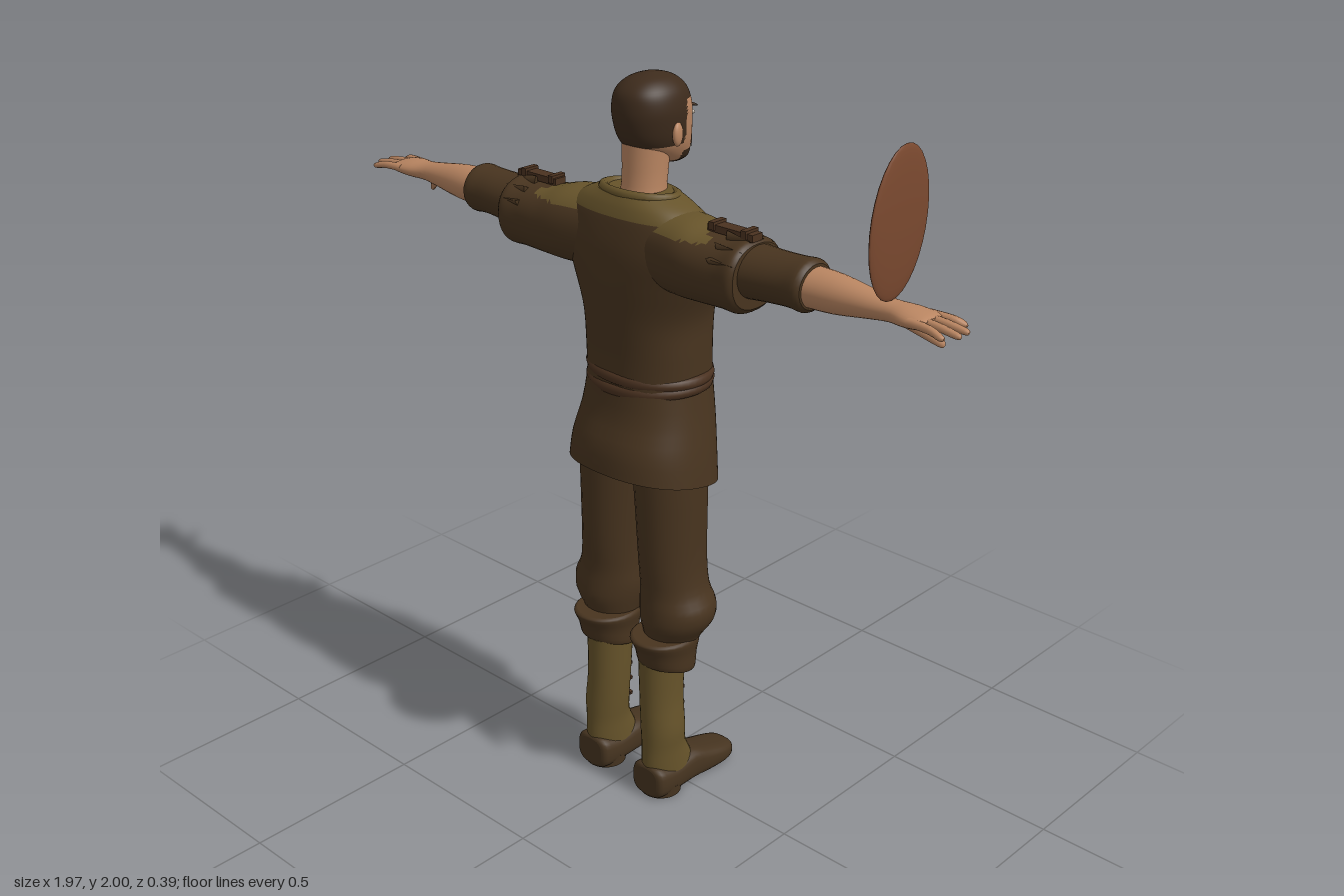
import * as THREE from 'three';

const paint = (name, color) => Object.assign(new THREE.MeshStandardMaterial({ color }), { name });
const cloth = paint('brown cloth', 0x48341f);
const olive = paint('olive leather', 0x66532a);
const leather = paint('brown leather', 0x4b3220);
const skin = paint('skin', 0xb98561);
const hair = paint('dark hair', 0x3d2b1c);
const boot = paint('boot leather', 0x463420);
const wood = paint('red brown disc', 0x7c4a30);
const grey = paint('grey pouch', 0x8b867b);
const dark = paint('dark lining', 0x2a1d12);
const white = paint('eye white', 0xcfc6b8);

// Catmull-Rom resampling of section rows
function resample(rows, n) {
  const out = [];
  for (let i = 0; i < rows.length - 1; i++) {
    const [a, b, c, d] = [rows[Math.max(i - 1, 0)], rows[i], rows[i + 1], rows[Math.min(i + 2, rows.length - 1)]];
    for (let k = 0; k < n; k++) {
      const t = k / n;
      out.push(b.map((p, j) => p + 0.5 * t * (c[j] - a[j] + t * (2 * a[j] - 5 * p + 4 * c[j] - d[j] + t * (3 * (p - c[j]) + d[j] - a[j])))));
    }
  }
  out.push(rows[rows.length - 1]);
  return out;
}

// Loft of oval sections [t, c1, c2, r1, r2] along an axis.
// bend moves vertices; pick chooses a material index per face.
function loft(name, axis, rows, mats, { seg = 28, sub = 3, power = 2, bend, pick } = {}) {
  const list = resample(rows, sub), pos = [], v = new THREE.Vector3();
  const round = x => Math.sign(x) * Math.abs(x) ** (2 / power);
  const put = (t, p, q) => {
    if (axis === 'y') v.set(p, t, q);
    else if (axis === 'x') v.set(t, p, q);
    else v.set(p, q, t);
    if (bend) bend(v);
    pos.push(v.x, v.y, v.z);
  };
  for (const [t, c1, c2, r1, r2] of list)
    for (let j = 0; j < seg; j++) {
      const a = j / seg * Math.PI * 2;
      put(t, c1 + r1 * round(Math.cos(a)), c2 + r2 * round(Math.sin(a)));
    }
  const n = list.length, faces = [];
  for (let i = 0; i < n - 1; i++)
    for (let j = 0; j < seg; j++) {
      const a = i * seg + j, b = i * seg + (j + 1) % seg;
      faces.push([a, a + seg, b], [b, a + seg, b + seg]);
    }
  // separate end caps keep their rims crisp
  for (const e of [0, n - 1]) {
    const base = pos.length / 3, [t, c1, c2] = list[e];
    for (let j = 0; j < seg; j++) pos.push(...pos.slice((e * seg + j) * 3, (e * seg + j) * 3 + 3));
    put(t, c1, c2);
    for (let j = 0; j < seg; j++) {
      const k = (j + 1) % seg;
      faces.push(e ? [base + k, base + j, base + seg] : [base + j, base + k, base + seg]);
    }
  }
  // turn the surface outward
  const P = i => new THREE.Vector3().fromArray(pos, i * 3);
  let volume = 0;
  for (const [a, b, c] of faces) volume += P(a).dot(P(b).cross(P(c)));
  if (volume < 0) faces.forEach(f => f.reverse());
  const all = [].concat(mats), sets = all.map(() => []);
  for (const f of faces) {
    const m = P(f[0]).add(P(f[1])).add(P(f[2])).divideScalar(3);
    sets[pick ? pick(m) : 0].push(...f);
  }
  const g = new THREE.BufferGeometry();
  g.setAttribute('position', new THREE.Float32BufferAttribute(pos, 3));
  g.setIndex(sets.flat());
  g.computeVertexNormals();
  let start = 0;
  if (all.length > 1) sets.forEach((s, i) => { g.addGroup(start, s.length, i); start += s.length; });
  const mesh = new THREE.Mesh(g, all.length > 1 ? all : all[0]);
  mesh.name = name;
  return mesh;
}

function place(name, geo, mat, p, s = [1, 1, 1], r = [0, 0, 0]) {
  const m = new THREE.Mesh(geo, mat);
  m.name = name;
  m.position.set(...p); m.scale.set(...s); m.rotation.set(...r);
  return m;
}
const ball = new THREE.SphereGeometry(1, 24, 16), box = new THREE.BoxGeometry(1, 1, 1);
const tube = (pts, r) => new THREE.TubeGeometry(new THREE.CatmullRomCurve3(pts.map(p => new THREE.Vector3(...p))), 16, r, 8);

// Olive yoke over the shoulders with a ragged bib on the chest
const ragged = u => 0.012 * Math.sin(u * 70) + 0.008 * Math.sin(u * 133);
const yoke = p => {
  const x = Math.abs(p.x);
  if (p.z < 0.02 && x < 0.011 && p.y < 1.66) return 2;
  if (p.y > 1.668 && x < 0.29) return 1;
  return p.z < 0.02 && p.y > 1.3 && x < 0.035 + (p.y - 1.3) * 0.42 + ragged(p.y) ? 1 : 0;
};

function createModel() {
  const model = new THREE.Group();
  model.name = 'figure';
  const add = (...m) => model.add(...m);

  // Tunic body and skirt
  add(loft('tunic', 'y', [
    [1.19, 0, 0, 0.165, 0.145], [1.3, 0, 0.003, 0.167, 0.143], [1.4, 0, 0.005, 0.172, 0.147],
    [1.5, 0, 0.015, 0.205, 0.143], [1.58, 0, 0.027, 0.23, 0.13], [1.65, 0, 0.035, 0.215, 0.11],
    [1.69, 0, 0.04, 0.17, 0.092], [1.715, 0, 0.04, 0.115, 0.078]], [cloth, olive, dark], { seg: 72, sub: 6, power: 2.3, pick: yoke }));
  add(loft('skirt', 'y', [
    [0.99, 0, 0.025, 0.205, 0.168], [1.06, 0, 0.02, 0.195, 0.165], [1.14, 0, 0.005, 0.178, 0.153], [1.22, 0, 0, 0.163, 0.146]],
  [cloth, dark], {
    seg: 64, power: 2.3,
    bend: v => {
      const k = Math.max(0, (1.22 - v.y) / 0.23);
      v.y -= k * ((0.2 - v.z) * 0.2 + Math.max(0, -0.1 - v.z) * 0.7);
    },
    pick: p => p.z < 0 && Math.abs(p.x) < 0.011 ? 1 : 0 }));
  const collar = new THREE.TorusGeometry(0.1, 0.014, 8, 36);
  add(place('collar', collar, olive, [0, 1.71, 0.035], [1.05, 0.75, 1], [Math.PI / 2 - 0.1, 0, 0]));

  // Belt, buckle, hanging ends and lacing
  for (const [y, tilt] of [[1.212, 0.02], [1.238, -0.03]])
    add(place('belt', new THREE.TorusGeometry(1, 0.075, 8, 48), leather, [0, y, 0], [0.166, 0.142, 0.22], [Math.PI / 2 + tilt, tilt, 0]));
  add(place('buckle', new THREE.TorusGeometry(0.024, 0.007, 8, 4), wood, [0, 1.228, -0.152]));
  for (const s of [-1, 1])
    add(place('beltEnd', tube([[s * 0.006, 1.22, -0.15], [s * 0.02, 1.12, -0.15], [s * 0.024, 1.03, -0.147]], 0.008), leather, [0, 0, 0]));
  for (let i = 0; i < 4; i++)
    add(place('chestTie', box, leather, [0, 1.31 + i * 0.06, -0.14 + i * 0.003], [0.045, 0.012, 0.01], [0, 0, i % 2 ? 0.4 : -0.4]));

  // Pouch on the belt
  add(loft('pouch', 'y', [[1.1, -0.16, -0.115, 0.02, 0.012], [1.115, -0.16, -0.115, 0.038, 0.027], [1.16, -0.16, -0.115, 0.038, 0.03],
    [1.195, -0.16, -0.115, 0.022, 0.018], [1.225, -0.16, -0.115, 0.03, 0.024]], grey));
  add(place('pouchCord', new THREE.TorusGeometry(0.022, 0.005, 6, 16), leather, [-0.16, 1.197, -0.115], [1, 1, 1], [Math.PI / 2, 0, 0]));

  // Head, hair and short beard
  add(loft('neck', 'y', [[1.67, 0, 0.03, 0.066, 0.062], [1.73, 0, 0.02, 0.057, 0.058], [1.84, 0, 0.012, 0.06, 0.064]], skin));
  add(loft('head', 'y', [
    [1.765, 0, -0.08, 0.02, 0.025], [1.78, 0, -0.062, 0.045, 0.058], [1.81, 0, -0.034, 0.066, 0.086], [1.84, 0, -0.018, 0.078, 0.1],
    [1.88, 0, -0.01, 0.085, 0.106], [1.92, 0, -0.006, 0.087, 0.106], [1.96, 0, -0.003, 0.077, 0.094],
    [1.987, 0, -0.003, 0.05, 0.062], [2, 0, -0.003, 0.012, 0.015]], [skin, hair], {
    seg: 64, sub: 5, power: 2.15,
    pick: p => p.y > 1.936 || (p.z > -0.045 && p.y > 1.828) || (p.z < -0.055 && p.y < 1.803) ? 1 : 0 }));
  add(place('nose', new THREE.ConeGeometry(0.017, 0.055, 12), skin, [0, 1.868, -0.122], [0.9, 1, 1], [0.3, 0, 0]));
  add(place('mouth', ball, leather, [0, 1.812, -0.12], [0.02, 0.005, 0.006]));
  for (const s of [-1, 1]) {
    add(place('ear', ball, skin, [s * 0.085, 1.858, -0.008], [0.011, 0.03, 0.02], [0, s * 0.3, 0]));
    add(place('eye', ball, white, [s * 0.034, 1.888, -0.107], [0.014, 0.007, 0.005], [0, s * 0.3, 0]));
    add(place('iris', ball, dark, [s * 0.034, 1.888, -0.111], [0.006, 0.006, 0.003]));
    add(place('brow', ball, hair, [s * 0.036, 1.908, -0.105], [0.021, 0.004, 0.006], [0, s * 0.35, s * -0.1]));
    add(place('moustache', tube([[0, 1.832, -0.122], [s * 0.022, 1.826, -0.117], [s * 0.036, 1.8, -0.101]], 0.008), hair, [0, 0, 0]));
  }

  for (const s of [-1, 1]) {
    const X = rows => rows.map(([x, ...r]) => [s * x, ...r]);
    const legX = rows => rows.map(([y, x, ...r]) => [y, s * x, ...r]);

    // Wide upper sleeve, rolled lower sleeve
    add(loft('upperSleeve', 'x', X([[0.1, 1.59, 0.04, 0.1, 0.1], [0.2, 1.59, 0.05, 0.1, 0.105], [0.27, 1.585, 0.058, 0.09, 0.1],
      [0.34, 1.585, 0.058, 0.088, 0.098], [0.385, 1.588, 0.058, 0.092, 0.1], [0.403, 1.59, 0.058, 0.08, 0.09]]), [cloth, olive],
    { seg: 40, sub: 6, power: 2.3, pick: p => p.y > 1.655 && Math.abs(p.x) < 0.28 + ragged(p.z) ? 1 : 0 }));
    add(loft('lowerSleeve', 'x', X([[0.38, 1.6, 0.055, 0.068, 0.08], [0.45, 1.602, 0.055, 0.063, 0.073], [0.52, 1.605, 0.055, 0.062, 0.068],
      [0.56, 1.605, 0.055, 0.065, 0.07], [0.574, 1.605, 0.055, 0.055, 0.06]]), cloth));
    // Shoulder strap with buckle loops and torn fringe
    add(place('shoulderStrap', box, leather, [s * 0.33, 1.684, 0.058], [0.14, 0.018, 0.036]));
    for (const x of [0.275, 0.375])
      add(place('strapLoop', box, leather, [s * x, 1.69, 0.058], [0.016, 0.02, 0.046]));
    for (let i = 0; i < 6; i++) {
      const a = (i - 2.5) * 0.42;
      add(place('fringe', new THREE.ConeGeometry(0.02, 0.075, 4), cloth,
        [s * 0.365, 1.588 + 0.088 * Math.cos(a), 0.058 + 0.098 * Math.sin(a)], [1, 1, 0.5], [a, 0, -s * 1.5]));
    }

    // Forearm, palm, fingers and thumb
    add(loft('forearm', 'x', X([[0.55, 1.603, 0.052, 0.05, 0.058], [0.64, 1.603, 0.052, 0.047, 0.05], [0.73, 1.603, 0.052, 0.034, 0.038],
      [0.79, 1.603, 0.052, 0.026, 0.033], [0.84, 1.603, 0.052, 0.024, 0.046], [0.885, 1.603, 0.052, 0.017, 0.05], [0.9, 1.603, 0.052, 0.01, 0.042]]), skin));
    [0.955, 0.983, 0.985, 0.965].forEach((tip, i) => {
      const z0 = 0.014 + i * 0.025, z1 = 0.001 + i * 0.034;
      add(loft('finger', 'x', X([[0.86, 1.605, z0, 0.011, 0.012], [0.92, 1.604, (z0 + z1) / 2, 0.01, 0.011],
        [tip - 0.01, 1.597, z1, 0.008, 0.009], [tip, 1.596, z1, 0.003, 0.003]]), skin, { seg: 10 }));
    });
    add(loft('thumb', 'x', X([[0.765, 1.59, 0.035, 0.012, 0.014], [0.81, 1.57, 0.01, 0.019, 0.017], [0.85, 1.542, -0.014, 0.016, 0.013],
      [0.873, 1.524, -0.028, 0.011, 0.009], [0.879, 1.52, -0.03, 0.003, 0.003]]), skin, { seg: 10 }));

    // Baggy trouser leg with knee folds and a cuff
    add(loft('trouserLeg', 'y', legX([[0.47, 0.11, 0.03, 0.07, 0.075], [0.5, 0.113, 0.028, 0.08, 0.083], [0.545, 0.122, 0.022, 0.1, 0.102],
      [0.59, 0.122, 0.02, 0.105, 0.102], [0.64, 0.112, 0.022, 0.092, 0.095], [0.72, 0.106, 0.024, 0.087, 0.098],
      [0.85, 0.102, 0.025, 0.09, 0.102], [1.0, 0.097, 0.025, 0.095, 0.105], [1.1, 0.09, 0.02, 0.085, 0.1]]), cloth));
    add(loft('trouserCuff', 'y', legX([[0.4, 0.108, 0.05, 0.068, 0.072], [0.405, 0.108, 0.05, 0.078, 0.08], [0.45, 0.108, 0.052, 0.08, 0.09],
      [0.49, 0.107, 0.055, 0.087, 0.104], [0.5, 0.107, 0.055, 0.08, 0.095]]), cloth,
    { bend: v => { v.y += (v.z - 0.05) * (0.04 + (0.5 - v.y) * 2); } }));

    // Boot shaft, shoe, heel and lacing
    add(loft('bootShaft', 'y', legX([[0.05, 0.108, 0.04, 0.056, 0.088], [0.1, 0.108, 0.05, 0.055, 0.08], [0.15, 0.108, 0.06, 0.054, 0.068],
      [0.21, 0.107, 0.062, 0.058, 0.066], [0.3, 0.1, 0.06, 0.056, 0.066], [0.42, 0.098, 0.058, 0.058, 0.07]]), olive));
    add(loft('shoe', 'z', [[0.132, 0.108, 0.05, 0.04, 0.04], [0.12, 0.108, 0.05, 0.057, 0.05], [0.06, 0.108, 0.045, 0.06, 0.045],
      [-0.02, 0.108, 0.048, 0.058, 0.05], [-0.08, 0.112, 0.038, 0.058, 0.04], [-0.14, 0.114, 0.03, 0.056, 0.03],
      [-0.18, 0.114, 0.026, 0.042, 0.023], [-0.198, 0.114, 0.025, 0.015, 0.01]].map(([z, x, ...r]) => [z, s * x, ...r]),
    boot, { power: 3, bend: v => { v.y = Math.max(v.y, v.z < 0.04 ? 0.006 : 0); } }));
    add(place('heel', new THREE.CylinderGeometry(0.06, 0.058, 0.03, 24), boot, [s * 0.108, 0.015, 0.072], [1, 1, 0.98]));
    for (let i = 0; i < 4; i++)
      add(place('bootStrap', box, leather, [s * 0.1, 0.2 + i * 0.05, -0.002], [0.05, 0.01, 0.01], [0, 0, 0.2 * s]));
  }

  // Thin oval disc above one hand
  add(place('disc', ball, wood, [0.802, 1.81, 0.064], [0.013, 0.18, 0.115], [0, 0.06, -0.045]));
  return model;
}

export { createModel };
